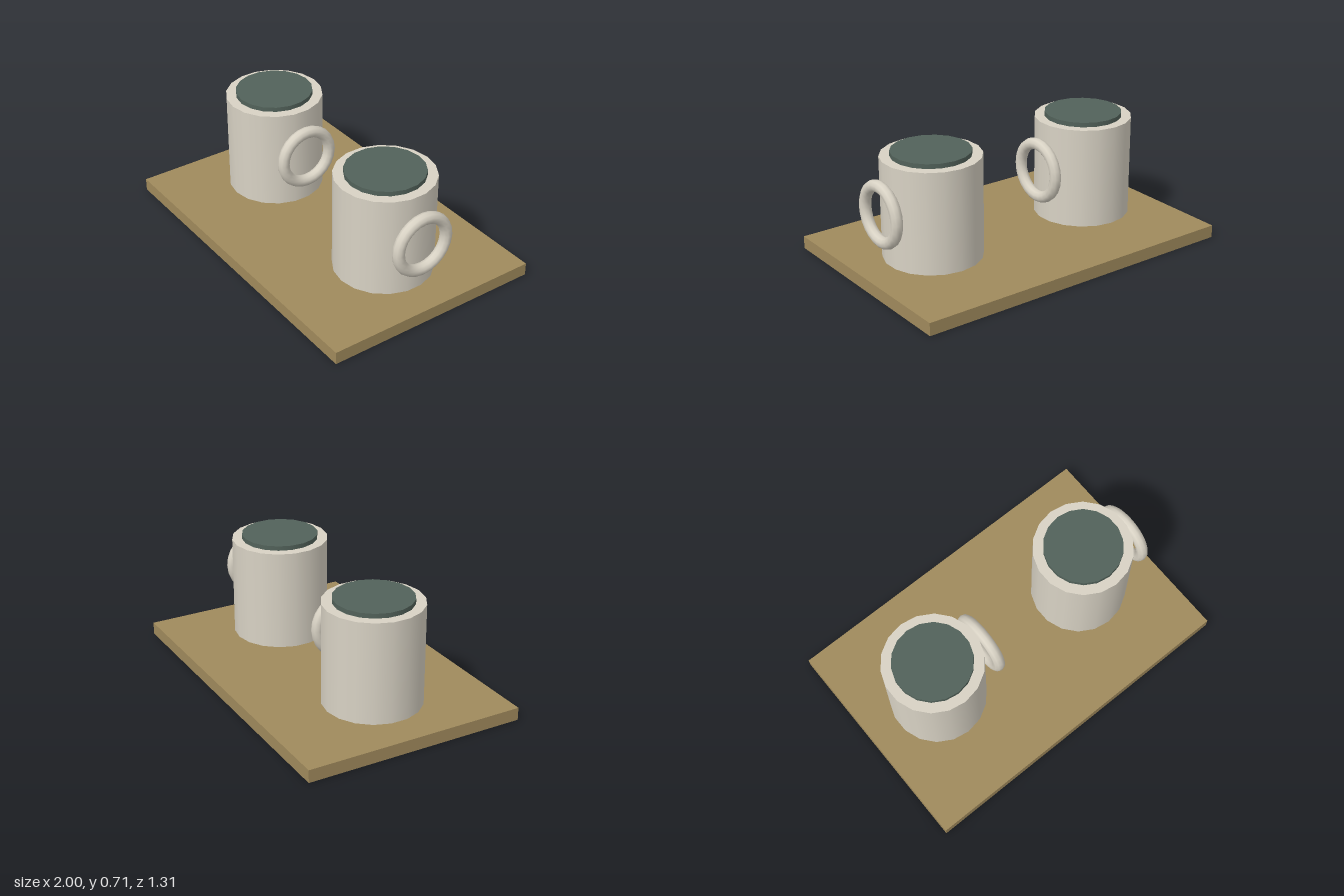
import * as THREE from 'three';

const ceramic = new THREE.MeshStandardMaterial({ color: 0xd8d2c4 });
const wood = new THREE.MeshStandardMaterial({ color: 0xa08a5c });
const dark = new THREE.MeshStandardMaterial({ color: 0x52625a });

function part(parent, name, geometry, material, x, y, z = 0) {
  const mesh = new THREE.Mesh(geometry, material);
  mesh.name = name;
  mesh.position.set(x, y, z);
  parent.add(mesh);
  return mesh;
}

// One mug: body, drink surface and a ring handle standing off its +x side
function createMug() {
  const mug = new THREE.Group();
  mug.name = 'mug';
  part(mug, 'mugBody', new THREE.CylinderGeometry(0.286, 0.286, 0.597, 18), ceramic, 0, 0.3835);
  part(mug, 'drinkSurface', new THREE.CylinderGeometry(0.227, 0.227, 0.04, 18), dark, 0, 0.689);
  const handle = part(mug, 'handle', new THREE.TorusGeometry(0.161, 0.0345, 10, 24), ceramic, 0.332, 0.408);
  handle.rotation.y = Math.PI / 2;
  return mug;
}

export function createModel() {
  const model = new THREE.Group();
  model.name = 'mugsOnBoard';

  // Serving board
  part(model, 'board', new THREE.BoxGeometry(2, 0.075, 1.312), wood, 0, 0.0375);

  // Pair of mugs, handles facing the same way
  for (const x of [-0.537, 0.537]) {
    const mug = createMug();
    mug.position.x = x;
    model.add(mug);
  }
  return model;
}
